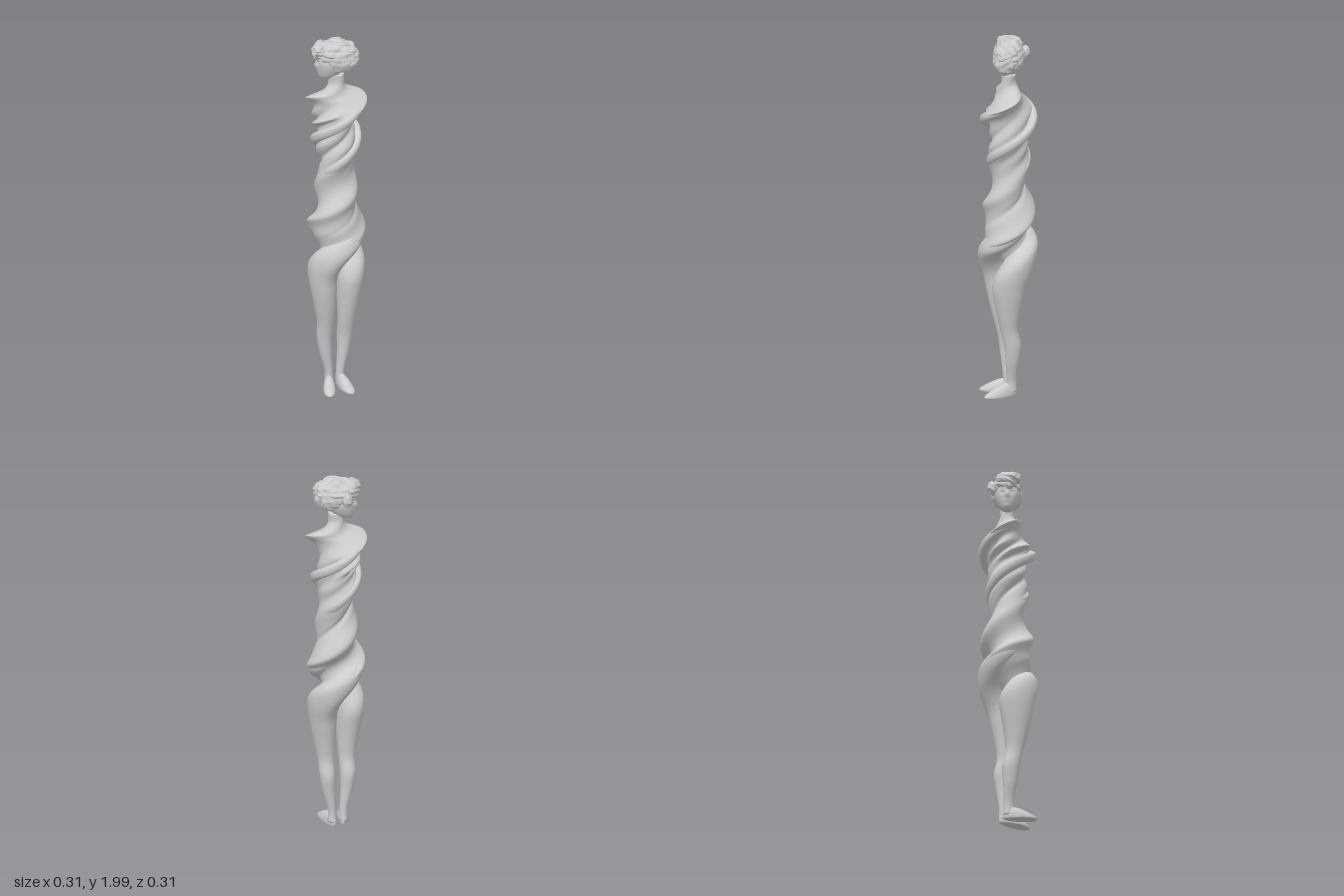
import * as THREE from 'three';

const material = new THREE.MeshStandardMaterial({ color: 0xcccccc, side: THREE.DoubleSide, roughness: 0.8 });
const rad = THREE.MathUtils.degToRad;
const bump = (v, centre, width) => Math.exp(-(((v - centre) / width) ** 2));

// Twist of the body about its axis: none in the legs, then a steady spiral
function twist(y) {
  if (y < 0.61) return 0;
  if (y < 0.83) return rad(745 * (y - 0.61) ** 2 / 0.44);
  return rad(745 * (y - 0.72));
}

// Smooth lookup of a table whose rows are [y, value, value, ...]
function profile(rows) {
  const curve = new THREE.CubicInterpolant(
    rows.map(r => r[0]), rows.flatMap(r => r.slice(1)), rows[0].length - 1);
  return y => Array.from(curve.evaluate(y));
}

// Horizontal sections stacked from y0 to y1, each turned by the twist; closed at both ends
function twistedLoft(name, y0, y1, rows, sides, section, shiftX = 0) {
  const pos = [], index = [];
  for (let i = 0; i <= rows; i++) {
    const y = y0 + (y1 - y0) * i / rows;
    const t = twist(y), c = Math.cos(t), s = Math.sin(t);
    for (let j = 0; j < sides; j++) {
      const [x, z] = section(y, j / sides * Math.PI * 2);
      pos.push(x * c + z * s + shiftX, y, z * c - x * s);
      if (i === rows) continue;
      const a = i * sides + j, b = i * sides + (j + 1) % sides;
      index.push(a, b, b + sides, a, b + sides, a + sides);
    }
  }
  const last = rows * sides;
  for (let j = 1; j < sides - 1; j++) {
    index.push(0, j + 1, j, last, last + j, last + j + 1);
  }
  const geo = new THREE.BufferGeometry();
  geo.setAttribute('position', new THREE.Float32BufferAttribute(pos, 3));
  geo.setIndex(index);
  geo.computeVertexNormals();
  return named(name, geo);
}

function named(name, geo) {
  const mesh = new THREE.Mesh(geo, material);
  mesh.name = name;
  return mesh;
}

// Sphere whose unit vertices are moved by a rule
function moulded(name, detail, rule) {
  const geo = new THREE.SphereGeometry(1, detail, Math.round(detail * 0.7));
  const p = geo.attributes.position, v = new THREE.Vector3();
  for (let i = 0; i < p.count; i++) {
    rule(v.fromBufferAttribute(p, i));
    p.setXYZ(i, v.x, v.y, v.z);
  }
  geo.computeVertexNormals();
  return named(name, geo);
}

// Torso: y, half width, half depth
const torsoSize = profile([
  [0.74, 0.06, 0.035], [0.79, 0.11, 0.068], [0.84, 0.14, 0.09], [0.9, 0.15, 0.104],
  [0.97, 0.149, 0.103], [1.07, 0.135, 0.098], [1.2, 0.107, 0.084], [1.3, 0.106, 0.088],
  [1.4, 0.11, 0.098], [1.5, 0.1, 0.092], [1.56, 0.115, 0.087], [1.6, 0.148, 0.084],
  [1.63, 0.16, 0.08], [1.665, 0.16, 0.072], [1.685, 0.142, 0.06], [1.71, 0.078, 0.05],
  [1.74, 0.043, 0.043], [1.8, 0.037, 0.042],
]);

function torsoSection(y, a) {
  const [w, d] = torsoSize(y);
  const wave = Math.cos(5 * a) * 0.05 * bump(y, 1.4, 0.12);
  const bust = (bump(a, 0.38, 0.28) + bump(a, Math.PI * 2 - 0.38, 0.28)) * 0.042 * bump(y, 1.54, 0.06);
  const spine = bump(a, Math.PI, 0.2) * 0.012 * bump(y, 1.25, 0.25);
  const r = 1 + wave + (bust - spine) / d;
  // Hips sit slightly forward of the seat
  const hip = (0.045 * Math.sin(a) ** 2 - 0.02) * bump(y, 0.93, 0.11);
  // Shoulders come to a sharp edge at both sides
  const edge = Math.abs(Math.cos(a)) ** (0.5 * bump(y, 1.65, 0.05));
  return [Math.sin(a) * w * r, Math.cos(a) * edge * d * r + hip];
}

// Leg: y, centre x, centre z, half width, half depth
const legSize = profile([
  [0.02, 0.031, -0.008, 0.023, 0.028], [0.08, 0.032, -0.008, 0.021, 0.027],
  [0.2, 0.05, -0.008, 0.033, 0.037], [0.29, 0.057, -0.007, 0.041, 0.046],
  [0.38, 0.058, 0.012, 0.044, 0.047], [0.46, 0.063, 0.018, 0.054, 0.06],
  [0.6, 0.073, 0.018, 0.07, 0.087], [0.7, 0.079, 0.012, 0.077, 0.1],
  [0.78, 0.08, 0.012, 0.077, 0.1], [0.85, 0.077, 0.015, 0.075, 0.095],
  [0.92, 0.072, 0.012, 0.07, 0.082], [1, 0.065, 0.005, 0.05, 0.055],
]);

// Arm: y, centre x, half width, half depth
const armSize = profile([
  [1.2, 0.07, 0.02, 0.03], [1.28, 0.084, 0.026, 0.04], [1.36, 0.096, 0.028, 0.044],
  [1.43, 0.107, 0.028, 0.046], [1.52, 0.122, 0.026, 0.05], [1.6, 0.126, 0.026, 0.045],
  [1.67, 0.118, 0.02, 0.03],
]);

function makeFoot(side) {
  const foot = moulded(side > 0 ? 'leftFoot' : 'rightFoot', 28, v => {
    const toe = (v.z + 1) / 2;
    const height = 0.075 * (1 - toe) + 0.022;
    v.set(v.x * (0.026 + 0.012 * toe), Math.max(0, v.y + 0.25) * height * 0.8, v.z * 0.092 + 0.052);
  });
  foot.position.x = side * 0.032 - 0.008;
  foot.rotation.y = side > 0 ? 0.1 : -0.33;
  return foot;
}

// Wavy surface for the curls, coarse locks with finer ones on top
const waves = (v, f) =>
  Math.sin(v.x * f + 2.1 * Math.sin(v.y * f * 0.7)) * Math.sin(v.y * f * 1.1 + 1.3)
  + 0.7 * Math.sin(v.z * f * 1.2 + 1.7 * Math.sin(v.x * f * 0.9) + v.y * 3);
const curls = (v, f) => waves(v, f) + 0.35 * waves(v, f * 2.1);

function hairLump(name, centre, size, detail, f, depth) {
  return moulded(name, detail, v => {
    const r = 1 + depth * curls(v, f);
    v.set(centre[0] + v.x * size[0] * r, centre[1] + v.y * size[1] * r, centre[2] + v.z * size[2] * r);
  });
}

function makeHead() {
  const head = new THREE.Group();
  head.name = 'head';
  // Face with narrowing jaw, chin, nose, mouth and eye hollows
  head.add(moulded('face', 72, v => {
    const { x, y, z } = v, low = Math.max(0, -y), front = Math.max(0, z);
    const nose = 0.016 * bump(x, 0, 0.17) * bump(y, -0.2, 0.2) * front;
    const lips = 0.006 * bump(x, 0, 0.3) * bump(y, -0.52, 0.1) * front;
    const chin = 0.01 * bump(x, 0, 0.3) * bump(y, -0.8, 0.16) * front;
    const eyes = 0.011 * bump(Math.abs(x), 0.38, 0.18) * bump(y, 0.02, 0.13) * front;
    v.set(x * (0.066 - 0.014 * low), 1.863 + y * 0.097,
      0.022 + z * (0.08 - 0.014 * low) + 0.034 * low * low + nose + lips + chin - eyes);
  }));
  // Gathered hair, low bun and loose curls
  head.add(hairLump('hair', [0, 1.917, 0], [0.078, 0.076, 0.115], 96, 6, 0.07));
  head.add(hairLump('hairBun', [0.008, 1.888, -0.068], [0.06, 0.068, 0.048], 48, 5, 0.08));
  head.add(hairLump('sideCurl', [-0.075, 1.9, 0.065], [0.027, 0.036, 0.026], 24, 4, 0.1));
  head.add(hairLump('fringe', [0.01, 1.942, 0.084], [0.066, 0.038, 0.04], 40, 5, 0.09));
  for (const side of [-1, 1]) {
    head.add(hairLump('templeHair', [side * 0.05, 1.89, -0.02], [0.032, 0.06, 0.06], 40, 5, 0.08));
  }
  head.rotation.y = -1.98;
  return head;
}

export function createModel() {
  const figure = new THREE.Group();
  figure.name = 'twistedFigure';
  figure.add(twistedLoft('torso', 0.74, 1.8, 200, 96, torsoSection));
  for (const side of [1, -1]) {
    const prefix = side > 0 ? 'left' : 'right';
    figure.add(twistedLoft(prefix + 'Leg', 0.02, 1, 110, 40, (y, a) => {
      const [cx, cz, w, d] = legSize(y);
      return [side * cx + Math.sin(a) * w, cz + Math.cos(a) * d];
    }, -0.006));
    figure.add(twistedLoft(prefix + 'Arm', 1.2, 1.67, 90, 32, (y, a) => {
      const [cx, w, d] = armSize(y);
      return [side * cx + Math.sin(a) * w, Math.cos(a) * d];
    }));
    figure.add(makeFoot(side));
  }
  figure.add(makeHead());
  return figure;
}
